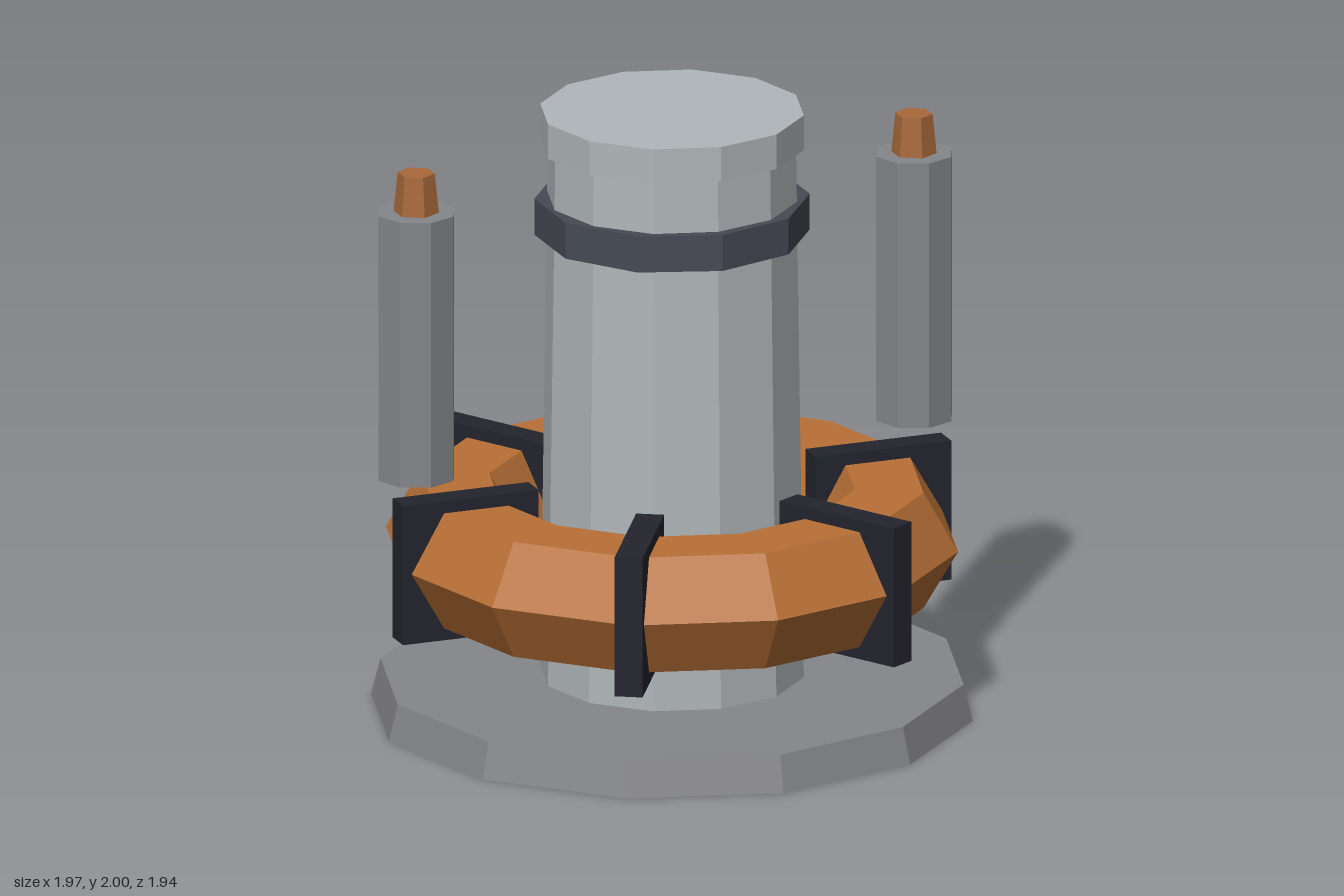
import * as THREE from 'three';

function material(name, color) {
  const m = new THREE.MeshStandardMaterial({ color, flatShading: true });
  m.name = name;
  return m;
}

export function createModel() {
  const model = new THREE.Group();
  const lightSteel = material('light steel', 0xb0b6b9);
  const grey = material('grey', 0x85868a);
  const slate = material('dark slate', 0x464a54);
  const black = material('blue black', 0x24242e);
  const copper = material('copper', 0xb87036);
  const dullCopper = material('dull copper', 0xa8683a);

  function add(parent, name, geometry, mat) {
    const mesh = new THREE.Mesh(geometry, mat);
    mesh.name = name;
    parent.add(mesh);
    return mesh;
  }

  // Upright faceted cylinder between two heights
  function drum(parent, name, rTop, rBottom, y0, y1, sides, mat) {
    const geometry = new THREE.CylinderGeometry(rTop, rBottom, y1 - y0, sides);
    geometry.translate(0, (y0 + y1) / 2, 0);
    return add(parent, name, geometry, mat);
  }

  // Central stack
  drum(model, 'base', 0.94, 0.97, 0, 0.12, 12, grey);
  drum(model, 'column', 0.4, 0.425, 0.12, 1.885, 12, lightSteel);
  drum(model, 'band', 0.44, 0.44, 1.59, 1.71, 10, slate);
  drum(model, 'cap', 0.425, 0.425, 1.885, 2, 12, lightSteel);

  // Coil ring with a hexagonal section
  const ring = new THREE.TorusGeometry(0.7, 0.222, 6, 12);
  ring.rotateX(Math.PI / 2);
  ring.translate(0, 0.563, 0);
  add(model, 'coilRing', ring, copper);

  // Six radial clamps around the ring
  const clamp = new THREE.BoxGeometry(0.465, 0.465, 0.09);
  clamp.translate(0.707, 0.563, 0);
  for (let i = 0; i < 6; i++) {
    add(model, 'clamp', clamp, black).rotation.y = (i * Math.PI) / 3;
  }

  // Floating side posts with tapered tips
  for (const side of [-1, 1]) {
    const post = new THREE.Group();
    post.name = side > 0 ? 'leftPost' : 'rightPost';
    post.position.set(side * 0.853, 0, -0.06);
    drum(post, 'postBody', 0.13, 0.13, 0.855, 1.74, 8, grey);
    drum(post, 'postTip', 0.06, 0.073, 1.74, 1.87, 6, dullCopper);
    model.add(post);
  }

  return model;
}
